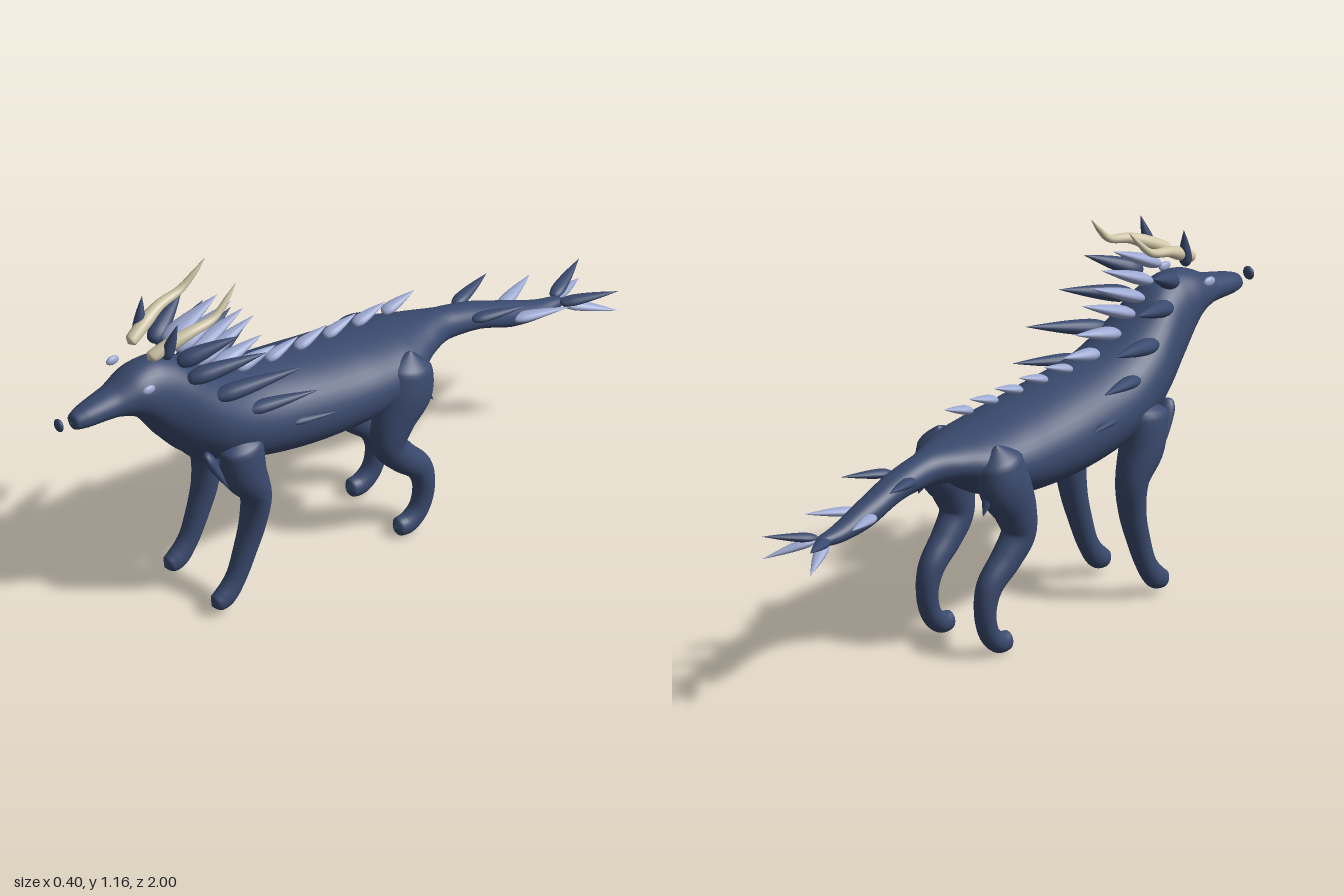
import * as THREE from 'three';

const hide = new THREE.MeshStandardMaterial({ name: 'slate blue hide', color: 0x3a4a6e });
const pale = new THREE.MeshStandardMaterial({ name: 'pale blue', color: 0x9da9d2 });
const bone = new THREE.MeshStandardMaterial({ name: 'cream horn', color: 0xcfc6a8 });

// Smooth skin through stations [x, y, z, half width, half depth]; upright keeps the rings vertical.
function loft(stations, upright = false, sides = 28) {
  const path = new THREE.CatmullRomCurve3(stations.map(s => new THREE.Vector3(s[0], s[1], s[2])));
  const radii = new THREE.CatmullRomCurve3(stations.map(s => new THREE.Vector3(s[3], s[4], 0)));
  const steps = (stations.length - 1) * 6;
  const pos = [], index = [];
  for (let i = 0; i <= steps; i++) {
    const c = path.getPoint(i / steps), r = radii.getPoint(i / steps), t = path.getTangent(i / steps);
    const n = upright ? new THREE.Vector3(0, 1, 0) : new THREE.Vector3(0, -t.z, t.y).normalize();
    const rx = Math.max(r.x, 0.0005), rn = Math.max(r.y, 0.0005);
    for (let j = 0; j < sides; j++) {
      const a = (j / sides) * Math.PI * 2, s = Math.sin(a) * rn;
      pos.push(c.x + Math.cos(a) * rx, c.y + n.y * s, c.z + n.z * s);
      if (i < steps) {
        const p = i * sides + j, q = i * sides + (j + 1) % sides;
        index.push(p, p + sides, q, q, p + sides, q + sides);
      }
    }
  }
  const g = new THREE.BufferGeometry();
  g.setAttribute('position', new THREE.Float32BufferAttribute(pos, 3));
  g.setIndex(index);
  g.computeVertexNormals();
  return g;
}

// Teardrop of unit length and unit radius, base at the origin
const drop = new THREE.LatheGeometry(
  new THREE.SplineCurve([[0, 0], [0.6, 0.03], [0.95, 0.15], [0.97, 0.3], [0.72, 0.55], [0.35, 0.8], [0, 1]]
    .map(p => new THREE.Vector2(...p))).getPoints(18).map(p => new THREE.Vector2(Math.max(p.x, 0), p.y)), 16);

export function createModel() {
  const model = new THREE.Group();
  model.name = 'hornedBeast';

  const add = (name, geometry, material) => {
    const m = new THREE.Mesh(geometry, material);
    m.name = name;
    model.add(m);
    return m;
  };

  // Spike from base to tip, w wide (horizontally) and t thick
  const spike = (name, material, base, tip, w, t) => {
    const b = new THREE.Vector3(...base), dir = new THREE.Vector3(...tip).sub(b);
    const length = dir.length();
    dir.normalize();
    const side = new THREE.Vector3().crossVectors(dir, new THREE.Vector3(0, 1, 0)).normalize();
    const flat = new THREE.Vector3().crossVectors(side, dir);
    const m = add(name, drop, material);
    m.quaternion.setFromRotationMatrix(new THREE.Matrix4().makeBasis(side, dir, flat));
    m.position.copy(b);
    m.scale.set(w, length, t);
  };

  const ball = (name, material, p, r) => {
    const m = add(name, new THREE.SphereGeometry(1, 20, 14), material);
    m.position.set(...p);
    m.scale.set(...r);
  };

  // Head, neck, trunk and tail in one skin: [y, z, half width, half height]
  add('body', loft([
    [0.838, 0.947, 0.001, 0.001], [0.84, 0.938, 0.026, 0.024], [0.845, 0.9, 0.04, 0.034],
    [0.856, 0.8, 0.057, 0.047], [0.858, 0.72, 0.082, 0.083], [0.81, 0.64, 0.1, 0.14],
    [0.75, 0.56, 0.125, 0.17], [0.692, 0.48, 0.15, 0.163], [0.632, 0.35, 0.17, 0.148],
    [0.595, 0.14, 0.182, 0.146], [0.58, -0.07, 0.18, 0.13], [0.59, -0.22, 0.16, 0.1],
    [0.613, -0.32, 0.1, 0.063], [0.612, -0.42, 0.055, 0.05], [0.59, -0.54, 0.05, 0.042],
    [0.543, -0.66, 0.045, 0.042], [0.51, -0.78, 0.033, 0.026], [0.505, -0.85, 0.02, 0.016],
    [0.5, -0.88, 0.001, 0.001],
  ].map(s => [0, ...s]), true, 40), hide);

  ball('nose', hide, [0, 0.85, 0.99], [0.021, 0.021, 0.01]);

  for (const s of [1, -1]) {
    const side = s > 0 ? 'left' : 'right';

    // Legs
    add(side + 'FrontLeg', loft([
      [0.13, 0.64, 0.42, 0.001, 0.001], [0.135, 0.605, 0.415, 0.052, 0.07], [0.127, 0.5, 0.4, 0.067, 0.07],
      [0.127, 0.4, 0.357, 0.054, 0.047], [0.122, 0.3, 0.362, 0.045, 0.04], [0.12, 0.2, 0.39, 0.036, 0.036],
      [0.12, 0.11, 0.425, 0.031, 0.033], [0.12, 0.06, 0.463, 0.031, 0.036], [0.12, 0.045, 0.495, 0.026, 0.028],
      [0.12, 0.04, 0.512, 0.001, 0.001],
    ].map(([x, ...r]) => [x * s, ...r])), hide);
    add(side + 'HindLeg', loft([
      [0.12, 0.67, -0.22, 0.001, 0.001], [0.125, 0.62, -0.21, 0.06, 0.075], [0.13, 0.54, -0.195, 0.068, 0.088],
      [0.13, 0.45, -0.15, 0.06, 0.07], [0.128, 0.37, -0.133, 0.052, 0.054], [0.124, 0.3, -0.18, 0.046, 0.049],
      [0.12, 0.225, -0.25, 0.039, 0.042], [0.12, 0.15, -0.268, 0.034, 0.034], [0.12, 0.075, -0.25, 0.031, 0.032],
      [0.12, 0.038, -0.21, 0.031, 0.033], [0.12, 0.035, -0.175, 0.027, 0.03], [0.12, 0.035, -0.157, 0.001, 0.001],
    ].map(([x, ...r]) => [x * s, ...r])), hide);

    // Eyes, ears and horns
    ball(side + 'Eye', pale, [0.092 * s, 0.921, 0.725], [0.01, 0.015, 0.023]);
    spike(side + 'Ear', hide, [0.07 * s, 0.99, 0.647], [0.09 * s, 1.115, 0.618], 0.02, 0.02);
    add(side + 'Horn', loft([
      [0.05, 0.995, 0.698, 0.001, 0.001], [0.052, 1.003, 0.685, 0.022, 0.018], [0.068, 1.035, 0.62, 0.023, 0.021],
      [0.082, 1.06, 0.56, 0.019, 0.016], [0.087, 1.08, 0.48, 0.014, 0.012], [0.082, 1.125, 0.43, 0.009, 0.008],
      [0.078, 1.165, 0.395, 0.001, 0.001],
    ].map(([x, ...r]) => [x * s, ...r]), false, 16), bone);

    // Mirrored spikes: base, tip, width, thickness
    const pairs = [
      ['maneSideSpike', hide, [0.065, 0.95, 0.6], [0.145, 1.025, 0.43], 0.03, 0.026],
      ['maneSideSpike', hide, [0.075, 0.88, 0.57], [0.162, 0.935, 0.34], 0.03, 0.026],
      ['maneSideSpike', hide, [0.095, 0.79, 0.49], [0.185, 0.843, 0.22], 0.03, 0.025],
      ['flankSpike', hide, [0.118, 0.712, 0.39], [0.19, 0.738, 0.17], 0.026, 0.019],
      ['flankSpike', hide, [0.15, 0.632, 0.26], [0.2, 0.636, 0.11], 0.02, 0.012],
      ['chestSpike', hide, [0.11, 0.61, 0.53], [0.147, 0.47, 0.468], 0.024, 0.016],
      ['thighSpike', hide, [0.12, 0.56, -0.235], [0.135, 0.465, -0.293], 0.024, 0.02],
      ['tailSpike', hide, [0.045, 0.617, -0.5], [0.1, 0.632, -0.66], 0.022, 0.014],
      ['tailSpike', pale, [0.035, 0.543, -0.66], [0.1, 0.558, -0.82], 0.022, 0.014],
      ['tailTipSpike', hide, [0.018, 0.512, -0.845], [0.1, 0.537, -1], 0.022, 0.014],
      ['tailTipSpike', pale, [0.018, 0.51, -0.85], [0.1, 0.465, -1], 0.022, 0.014],
    ];
    for (const [name, mat, b, t, w, d] of pairs)
      spike(side + name[0].toUpperCase() + name.slice(1), mat, [b[0] * s, b[1], b[2]], [t[0] * s, t[1], t[2]], w, d);
  }

  // Mane spikes down the neck: base y, z, tip y, z, width
  for (const [y, z, ty, tz, w] of [
    [0.99, 0.6, 1.082, 0.405, 0.035], [0.945, 0.565, 1.035, 0.355, 0.035], [0.9, 0.53, 0.99, 0.31, 0.034],
    [0.86, 0.49, 0.945, 0.27, 0.033], [0.815, 0.43, 0.86, 0.24, 0.03], [0.775, 0.34, 0.8, 0.19, 0.026],
  ]) spike('maneSpike', pale, [0, y, z], [0, ty, tz], w, 0.02);

  // Smaller spikes along the back
  for (let i = 0; i < 5; i++) {
    const z = 0.225 - i * 0.107;
    spike('backSpike', pale, [0, 0.758 - i * 0.003, z], [0, 0.795 - i * 0.004, z - 0.118], 0.022, 0.014);
  }
  return model;
}
